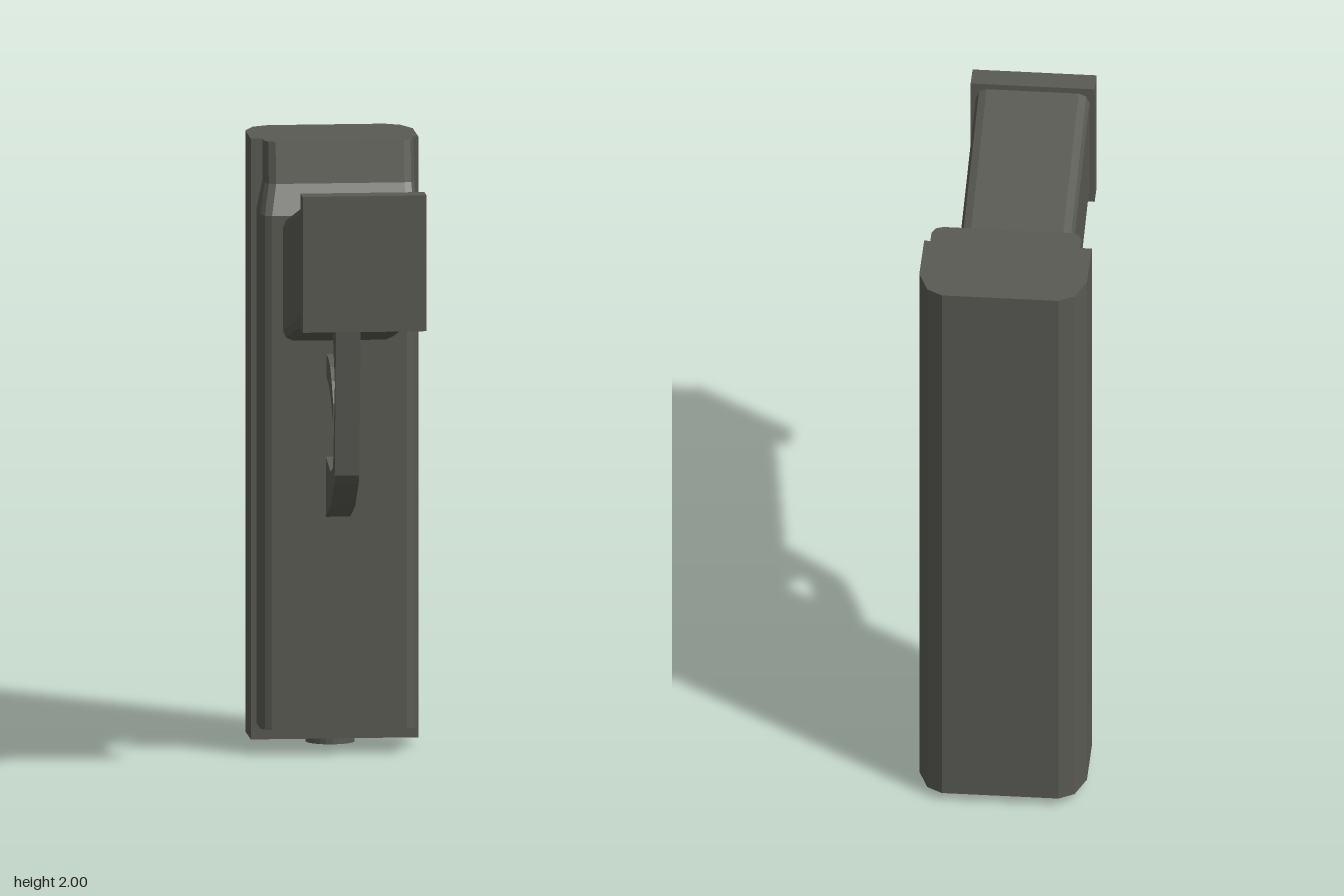
import * as THREE from 'three';

const gunmetal = new THREE.MeshStandardMaterial({ color: 0x5a5a54 });
gunmetal.name = 'dark grey';

function addPart(group, name, geometry) {
  const mesh = new THREE.Mesh(geometry, gunmetal);
  mesh.name = name;
  group.add(mesh);
  return mesh;
}

// Joins equal-sized convex sections, each counterclockwise about the sweep axis
function loft(sections, capStart = true, capEnd = true) {
  const pos = [];
  const tri = (a, b, c) => pos.push(...a, ...b, ...c);
  const n = sections[0].length;
  for (let s = 0; s < sections.length - 1; s++) {
    const a = sections[s], b = sections[s + 1];
    for (let i = 0; i < n; i++) {
      const j = (i + 1) % n;
      tri(a[i], a[j], b[j]);
      tri(a[i], b[j], b[i]);
    }
  }
  const first = sections[0], last = sections[sections.length - 1];
  for (let i = 1; i < n - 1; i++) {
    if (capStart) tri(first[0], first[i + 1], first[i]);
    if (capEnd) tri(last[0], last[i], last[i + 1]);
  }
  const g = new THREE.BufferGeometry();
  g.setAttribute('position', new THREE.Float32BufferAttribute(pos, 3));
  g.computeVertexNormals();
  return g;
}

// Extrudes a side outline of [z, y] points across x
function sidePlate(outline, width, centre) {
  const shape = new THREE.Shape(outline.map(([z, y]) => new THREE.Vector2(z, y)));
  const g = new THREE.ExtrudeGeometry(shape, { depth: width, bevelEnabled: false });
  return g.translate(0, 0, -width / 2).rotateY(-Math.PI / 2).translate(centre, 0, 0);
}

export function createModel() {
  const model = new THREE.Group();
  model.name = 'model';

  // Long upper body with chamfered rear corners
  const bodyOutline = [[-0.273, -0.37], [0.273, -0.37], [0.273, -0.56], [0.24, -0.645],
    [0.19, -0.675], [-0.19, -0.675], [-0.24, -0.645], [-0.273, -0.56]];
  const bodyAt = y => bodyOutline.map(([x, z]) => [x, y, z]);
  addPart(model, 'upperBody', loft([bodyAt(0.03), bodyAt(2)], false, true));

  // Lower end face with a round opening
  const endShape = new THREE.Shape(bodyOutline.map(([x, z]) => new THREE.Vector2(x, z)));
  endShape.holes.push(new THREE.Path().absarc(0, -0.523, 0.07, 0, Math.PI * 2, true));
  addPart(model, 'bodyEnd', new THREE.ShapeGeometry(endShape, 12).rotateX(Math.PI / 2).translate(0, 0.03, 0));

  // Hollow tube tip
  const tubeProfile = [[0, 0.3], [0.062, 0.3], [0.062, 0], [0.08, 0], [0.08, 0.03]];
  const tube = new THREE.LatheGeometry(tubeProfile.map(p => new THREE.Vector2(...p)), 24).toNonIndexed();
  tube.computeVertexNormals();
  addPart(model, 'tubeTip', tube.translate(0, 0, -0.523));

  // Frame, stepping back toward the top
  const frameAt = (y, left, right, front) => [
    [left, y, -0.37], [left, y, front - 0.035], [left + 0.012, y, front - 0.01], [left + 0.035, y, front],
    [right - 0.035, y, front], [right - 0.012, y, front - 0.01], [right, y, front - 0.035], [right, y, -0.37]];
  addPart(model, 'frame', loft([
    frameAt(0.085, -0.255, 0.255, -0.195),
    frameAt(1.77, -0.255, 0.255, -0.195),
    frameAt(1.865, -0.235, 0.253, -0.265),
    frameAt(2, -0.235, 0.253, -0.288)]));

  // Slanted grip with softened edges
  const gripAt = (z, low, high) => {
    const points = [];
    const r = 0.035, w = 0.185;
    const corners = [[w - r, high - r], [-w + r, high - r], [-w + r, low + r], [w - r, low + r]];
    corners.forEach(([cx, cy], k) => {
      for (let i = 0; i <= 2; i++) {
        const a = (k + i / 2) * Math.PI / 2;
        points.push([cx + r * Math.cos(a), cy + r * Math.sin(a), z]);
      }
    });
    return points;
  };
  addPart(model, 'grip', loft([gripAt(-0.21, 1.357, 1.762), gripAt(0.6, 1.531, 1.936)]));
  addPart(model, 'gripBase', new THREE.BoxGeometry(0.404, 0.445, 0.08)).position.set(0, 1.732, 0.635);

  // Guard loop
  addPart(model, 'guard', sidePlate([
    [0.162, 1.45], [0.114, 0.96], [0.093, 0.93], [-0.024, 0.84], [-0.2, 0.78], [-0.2, 0.98],
    [-0.03, 0.952], [0.045, 0.975], [0.066, 1.015], [0.108, 1.2], [0.118, 1.265], [0.04, 1.43]], 0.08, -0.005));

  // Curved lever
  addPart(model, 'lever', sidePlate([
    [0.035, 1.11], [0.035, 1.185], [-0.02, 1.25], [-0.07, 1.29], [-0.13, 1.31], [-0.2, 1.315],
    [-0.2, 1.237], [-0.135, 1.23], [-0.087, 1.213], [-0.03, 1.18]], 0.075, -0.005));

  return model;
}
